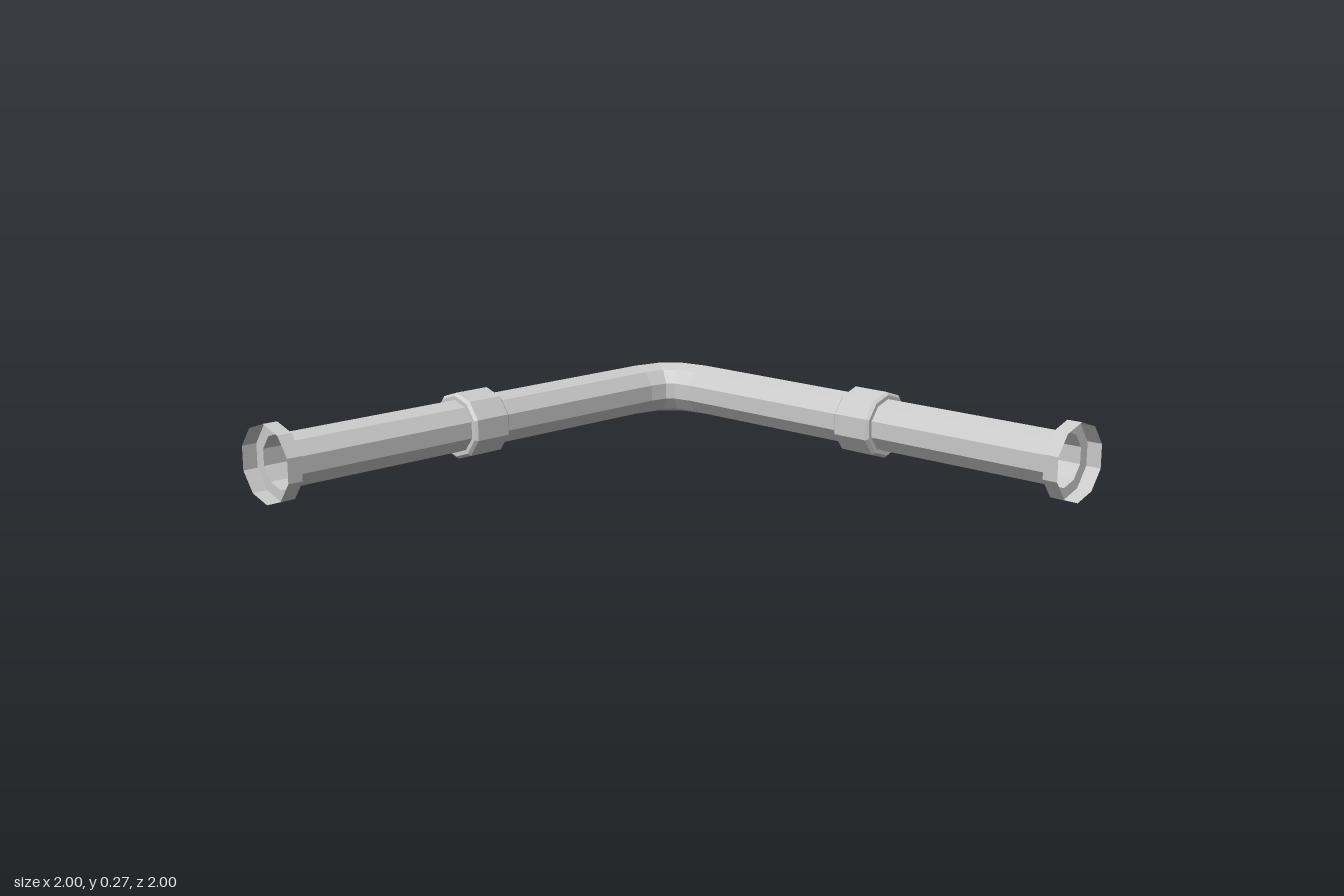
import * as THREE from 'three';

const SIDES = 10;
const AXIS = -0.871;   // x of one leg, z of the other
const HEIGHT = 0.136;  // height of the pipe's centre line
const PIPE_R = 0.095;
const PIPE_END = 0.945;

// Open ten-sided tube with a corner at the top, swept along a level path
function sweepPipe(stations, radius) {
  const up = new THREE.Vector3(0, 1, 0);
  const positions = [];
  const index = [];
  stations.forEach(({ point, tangent }, j) => {
    const out = new THREE.Vector3().crossVectors(up, tangent);
    for (let i = 0; i < SIDES; i++) {
      const a = Math.PI / 2 + (i / SIDES) * Math.PI * 2;
      const p = point.clone()
        .addScaledVector(out, radius * Math.cos(a))
        .addScaledVector(up, radius * Math.sin(a));
      positions.push(p.x, p.y, p.z);
      if (j === 0) continue;
      const k = (i + 1) % SIDES;
      const lower = (j - 1) * SIDES;
      const upper = j * SIDES;
      index.push(lower + i, lower + k, upper + i, lower + k, upper + k, upper + i);
    }
  });
  const geometry = new THREE.BufferGeometry();
  geometry.setAttribute('position', new THREE.Float32BufferAttribute(positions, 3));
  geometry.setIndex(index);
  geometry.computeVertexNormals();
  return geometry;
}

// Faceted ring turned around the z axis; profile is [radius, z]
function turnedRing(profile) {
  const points = profile.map(([r, z]) => new THREE.Vector2(r, z));
  return new THREE.LatheGeometry(points, SIDES).rotateX(Math.PI / 2);
}

export function createModel() {
  const group = new THREE.Group();
  const material = new THREE.MeshStandardMaterial({
    color: 0xcccccc, flatShading: true, side: THREE.DoubleSide,
  });
  const add = (parent, name, geometry) => {
    const mesh = new THREE.Mesh(geometry, material);
    mesh.name = name;
    parent.add(mesh);
  };

  // Pipe: straight leg, three-step elbow, straight leg
  const bendStart = AXIS + 0.19;
  const v = (x, z) => new THREE.Vector3(x, HEIGHT, z);
  const elbow = new THREE.QuadraticBezierCurve3(
    v(AXIS, bendStart), v(AXIS, AXIS), v(bendStart, AXIS));
  const stations = [{ point: v(AXIS, PIPE_END), tangent: new THREE.Vector3(0, 0, -1) }];
  for (let i = 0; i <= 3; i++) {
    stations.push({ point: elbow.getPoint(i / 3), tangent: elbow.getTangent(i / 3) });
  }
  stations.push({ point: v(PIPE_END, AXIS), tangent: new THREE.Vector3(1, 0, 0) });
  add(group, 'bentPipe', sweepPipe(stations, PIPE_R));

  // Coupling sleeve with bevelled edges, and open cup-shaped end flange
  const coupling = turnedRing([
    [PIPE_R, 0.053], [0.11, 0.053], [0.12, 0.063],
    [0.12, 0.2], [0.11, 0.21], [PIPE_R, 0.21],
  ]);
  const flange = turnedRing([[PIPE_R, PIPE_END], [0.136, PIPE_END], [0.136, 1]]);

  // The same fittings sit on both legs
  for (const side of ['front', 'left']) {
    const fittings = new THREE.Group();
    fittings.name = side + 'Fittings';
    if (side === 'front') {
      fittings.position.set(AXIS, HEIGHT, 0);
    } else {
      fittings.position.set(0, HEIGHT, AXIS);
      fittings.rotation.y = Math.PI / 2;
    }
    add(fittings, side + 'Coupling', coupling);
    add(fittings, side + 'Flange', flange);
    group.add(fittings);
  }
  return group;
}
